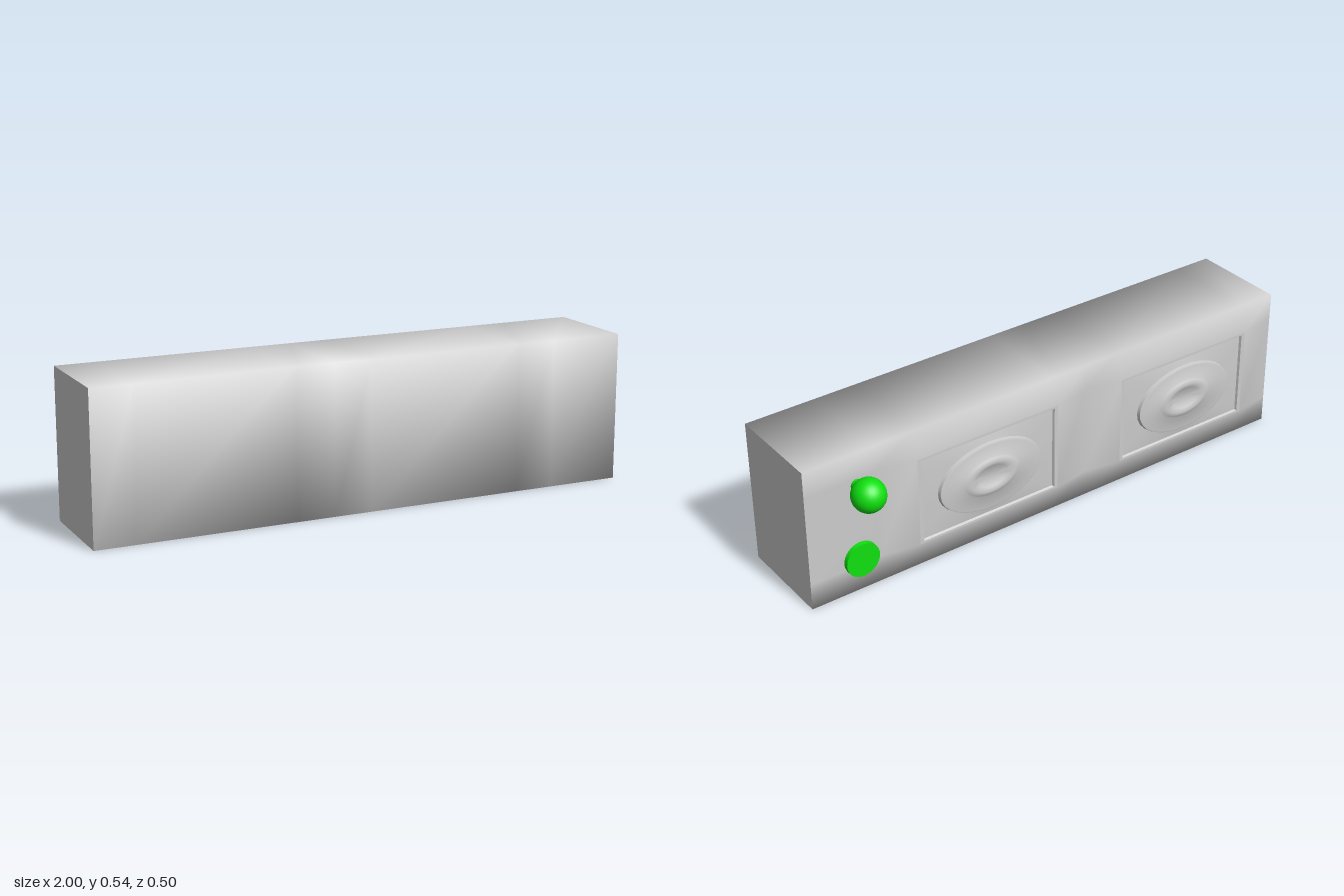
import * as THREE from 'three';
import { toCreasedNormals } from 'three/addons/utils/BufferGeometryUtils.js';

const GREY = new THREE.MeshStandardMaterial({ color: 0xcccccc });
const GREEN = new THREE.MeshStandardMaterial({ color: 0x10e010 });
const H = 0.54, FRONT = 0.25, BACK = -0.115, RAISED = -0.14;
const LOW = 0.1, HIGH = 0.44, HALF = 0.29;
const CENTRES = [-0.565, 0.295];

function add(parent, name, geometry, material, x = 0, y = 0, z = 0) {
  const mesh = new THREE.Mesh(geometry, material);
  mesh.name = name;
  mesh.position.set(x, y, z);
  parent.add(mesh);
  return mesh;
}

function indexed(points, index) {
  const g = new THREE.BufferGeometry();
  g.setAttribute('position', new THREE.Float32BufferAttribute(points, 3));
  g.setIndex(index);
  g.computeVertexNormals();
  return g;
}

// Long block whose back swells into two bevelled plateaus, left open for the panels
function bodyGeometry() {
  const sections = [[-1, BACK]];
  for (const c of CENTRES) {
    sections.push([c - HALF, RAISED], [c + HALF, RAISED], [c < 0 ? -0.135 : 0.73, BACK]);
  }
  sections.push([1, BACK]);
  const points = [], index = [];
  for (const [x, z] of sections) {
    const loop = [[0, FRONT], [H, FRONT], [H, BACK], [HIGH, z], [LOW, z], [0, BACK]];
    for (const [py, pz] of loop) points.push(x, py, pz);
  }
  for (let i = 0; i < sections.length - 1; i++) {
    for (let j = 0; j < 6; j++) {
      if (j === 3 && sections[i][1] === RAISED && sections[i + 1][1] === RAISED) continue;
      const k = (j + 1) % 6;
      const a = i * 6 + j, b = a + 6, d = i * 6 + k, c = d + 6;
      index.push(a, b, c, a, c, d);
    }
  }
  return indexed(points, index);
}

// Rectangular recess holding an oval disc with a raised ring
function panelGeometry() {
  const N = 32;
  // [half width, half height, z, rectangular]
  const rings = [
    [HALF, 0.17, RAISED, true],
    [0.275, 0.162, RAISED, true],
    [0.271, 0.158, -0.132, true],
    [0.212, 0.132, -0.137, false],
    [0.209, 0.13, -0.149, false],
    [0.2, 0.124, -0.151, false],
    [0.12, 0.076, -0.149, false],
    [0.11, 0.07, -0.154, false],
    [0.09, 0.056, -0.158, false],
    [0.066, 0.041, -0.154, false],
    [0.055, 0.034, -0.149, false],
    [0, 0, -0.149, false],
  ];
  const points = [], index = [];
  rings.forEach(([rx, ry, z, rect], r) => {
    for (let i = 0; i < N; i++) {
      const a = (i / N) * Math.PI * 2, c = Math.cos(a), s = Math.sin(a);
      const k = rect ? 1 / Math.max(Math.abs(c), Math.abs(s)) : 1;
      points.push(rx * c * k, ry * s * k, z);
      if (r === rings.length - 1) continue;
      const o = r * N + i, o2 = r * N + (i + 1) % N;
      index.push(o, o + N, o2 + N, o, o2 + N, o2);
    }
  });
  return toCreasedNormals(indexed(points, index), 0.8);
}

export function createModel() {
  const model = new THREE.Group();
  model.name = 'block';

  add(model, 'body', bodyGeometry(), GREY);

  // Flat ends
  for (const side of [-1, 1]) {
    const cap = add(model, side < 0 ? 'rightEnd' : 'leftEnd',
      new THREE.PlaneGeometry(FRONT - BACK, H), GREY, side, H / 2, (FRONT + BACK) / 2);
    cap.rotation.y = side * Math.PI / 2;
  }

  // Two recessed panels
  const panel = panelGeometry();
  for (const c of CENTRES) add(model, 'ovalPanel', panel, GREY, c, (LOW + HIGH) / 2, 0);

  // Ball knob on a short stem
  const knob = new THREE.Group();
  knob.name = 'knob';
  model.add(knob);
  add(knob, 'stem', new THREE.CylinderGeometry(0.021, 0.021, 0.035, 16).rotateX(Math.PI / 2),
    GREEN, 0.805, 0.42, -0.128);
  add(knob, 'ball', new THREE.SphereGeometry(0.06, 32, 20), GREEN, 0.805, 0.42, -0.191);

  // Round button
  add(model, 'button', new THREE.CylinderGeometry(0.064, 0.064, 0.02, 32).rotateX(Math.PI / 2),
    GREEN, 0.805, 0.127, -0.123);

  return model;
}
